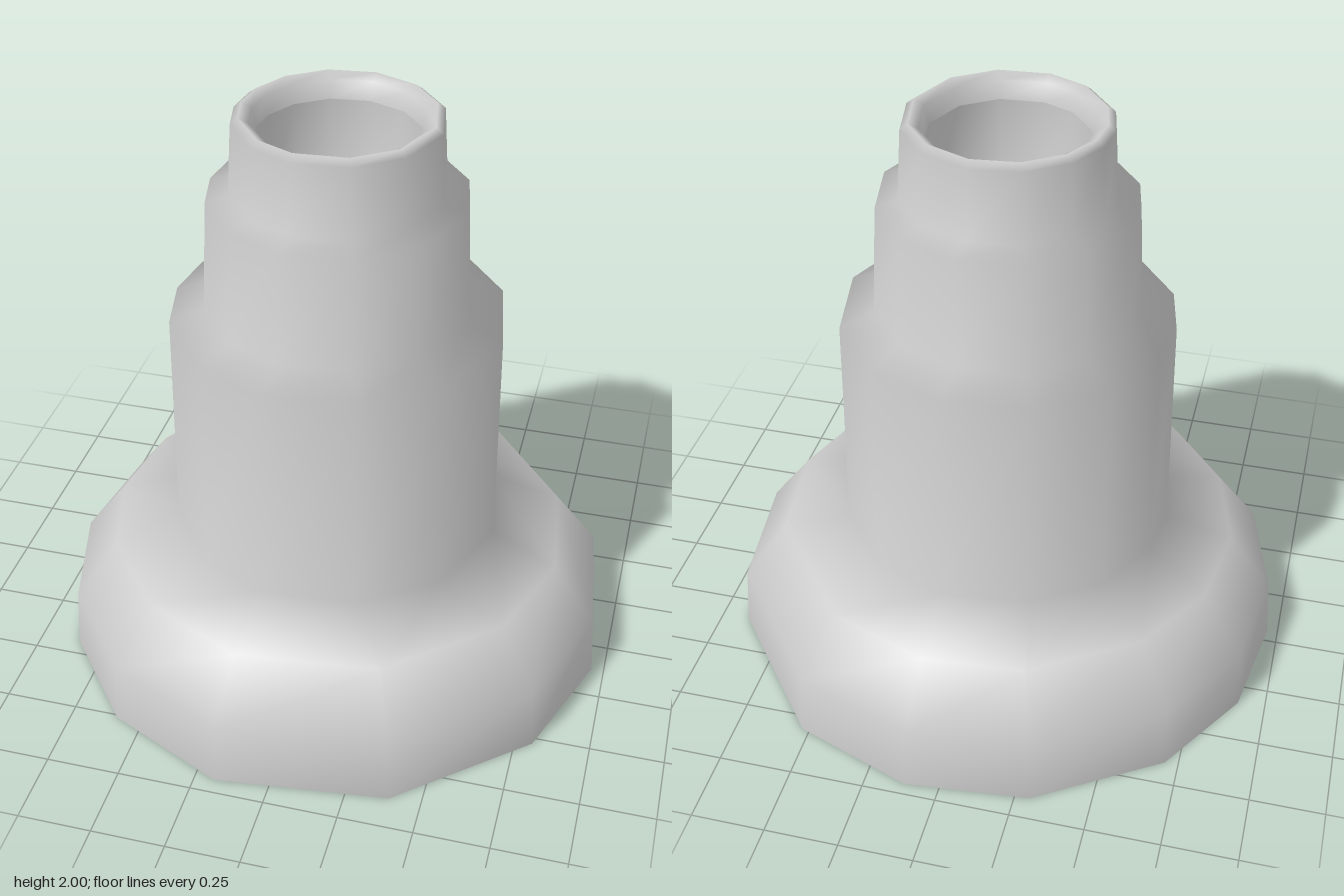
import * as THREE from 'three';

// Uneven vertex bearings (degrees) round the base and round the upper stages
const BASE_ANGLES = [-83, -57, -21, 7, 33, 66, 101, 128, 153, 177, 200, 223, 252];
const STAGE_ANGLES = [-82, -53, -26, 6, 40, 70, 102, 127, 157, 179, 198, 222, 249];

// Skin a list of [radius, height, angles] rings; smooth normals across the faceted shell
function skin(name, rings, material) {
  const n = BASE_ANGLES.length;
  const positions = [];
  const index = [];
  for (const [r, y, angles] of rings) {
    for (const degrees of angles) {
      const a = THREE.MathUtils.degToRad(degrees);
      positions.push(r * Math.cos(a), y, r * Math.sin(a));
    }
  }
  for (let i = 0; i < rings.length - 1; i++) {
    for (let j = 0; j < n; j++) {
      const k = (j + 1) % n;
      const a = i * n + j, b = i * n + k, c = a + n, d = b + n;
      index.push(a, c, b);
      if (rings[i + 1][0] > 0.001) index.push(b, c, d);
    }
  }
  const geometry = new THREE.BufferGeometry();
  geometry.setAttribute('position', new THREE.Float32BufferAttribute(positions, 3));
  geometry.setIndex(index);
  geometry.computeVertexNormals();
  const mesh = new THREE.Mesh(geometry, material);
  mesh.name = name;
  return mesh;
}

export function createModel() {
  const group = new THREE.Group();
  group.name = 'steppedNozzle';
  const material = new THREE.MeshStandardMaterial({ color: 0xcccccc, side: THREE.DoubleSide });
  const B = BASE_ANGLES, S = STAGE_ANGLES;

  // Hollow flared foot, three stepped stages and the rounded rim
  group.add(skin('steppedShell', [
    [0.965, 0, B], [0.95, 0.225, B], [0.8, 0.425, B],
    [0.57, 0.505, S], [0.56, 1.29, S],
    [0.445, 1.335, S], [0.425, 1.72, S],
    [0.352, 1.74, S], [0.337, 1.98, S],
    [0.312, 2, S], [0.28, 1.98, S], [0.265, 1.92, S],
  ], material));

  // Recess inside the mouth
  group.add(skin('mouthRecess', [
    [0.265, 1.92, S], [0.255, 1.65, S], [0.2, 1.6, S], [0.0001, 1.59, S],
  ], material));

  return group;
}
